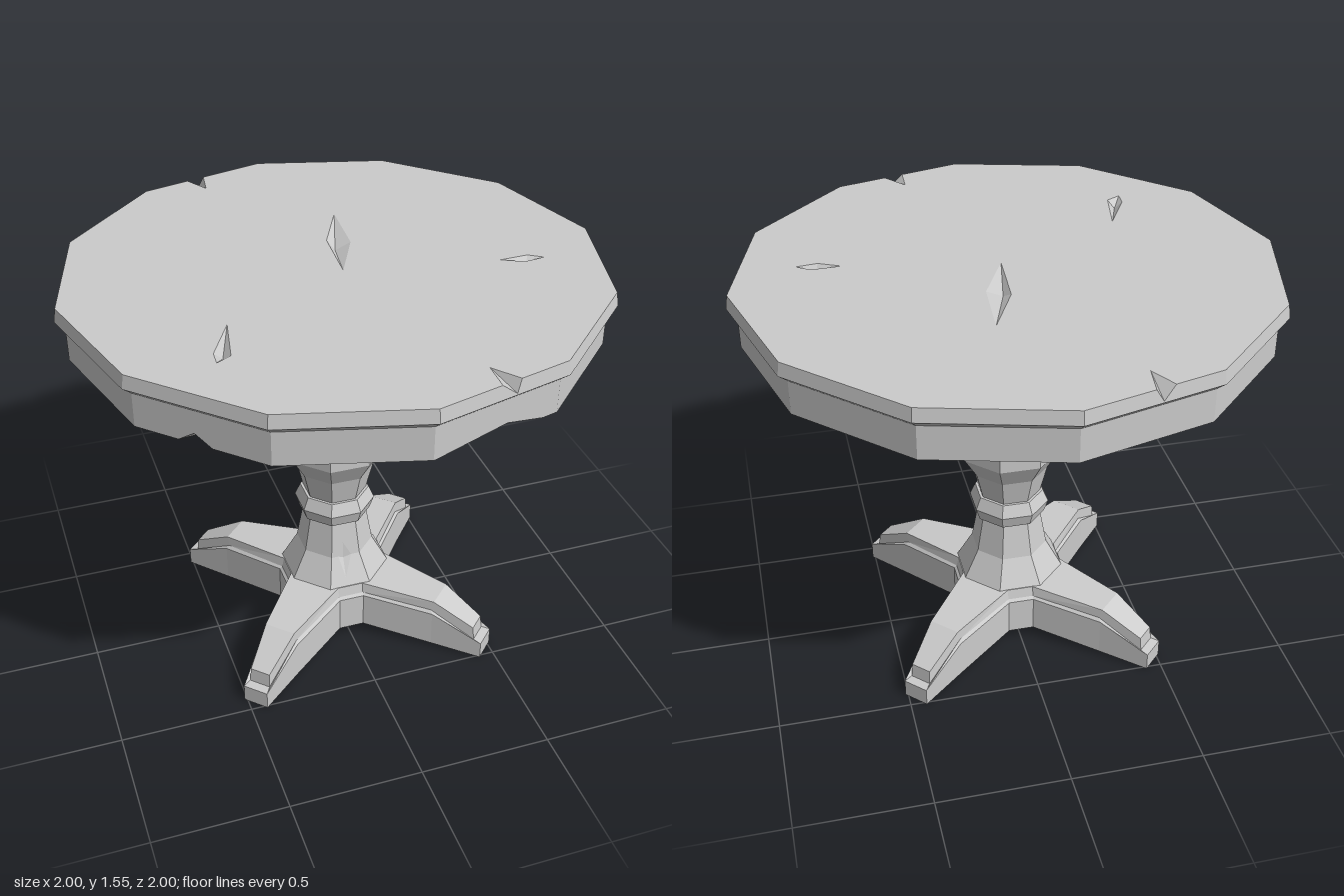
import * as THREE from 'three';

const vec = (x, y, z) => new THREE.Vector3(x, y, z);

// Collects flat polygons and turns them into one faceted mesh
class Facets {
  constructor() { this.points = []; }

  // Polygon with optional holes, corners counter-clockwise from outside
  face(outline, holes = []) {
    const normal = vec(0, 0, 0);
    outline.forEach((p, i) => normal.add(p.clone().cross(outline[(i + 1) % outline.length])));
    normal.normalize();
    const u = outline[1].clone().sub(outline[0]).normalize();
    const v = normal.clone().cross(u);
    const flat = p => new THREE.Vector2(p.dot(u), p.dot(v));
    const all = [outline, ...holes].flat();
    const tris = THREE.ShapeUtils.triangulateShape(outline.map(flat), holes.map(h => h.map(flat)));
    for (const [a, b, c] of tris) {
      const [p, q, r] = [all[a], all[b], all[c]];
      const turn = q.clone().sub(p).cross(r.clone().sub(p)).dot(normal);
      this.points.push(...(turn < 0 ? [p, r, q] : [p, q, r]));
    }
  }

  // Sunken fan from a rim to its deepest point
  pit(rim, deep) {
    for (let i = 0; i + 1 < rim.length; i++) this.points.push(rim[i], rim[i + 1], deep);
  }

  mesh(name, material) {
    const geometry = new THREE.BufferGeometry().setFromPoints(this.points);
    geometry.computeVertexNormals();
    const mesh = new THREE.Mesh(geometry, material);
    mesh.name = name;
    return mesh;
  }
}

// Faceted turned body. Rings are [radius, height]. Each chip sits on the edge
// of one ring and side: t0..t1 along the edge, up/down = [t, share of the face].
function turnedBody(rings, sides, shift, chips, gouges = []) {
  const out = new Facets();
  const V = (j, k) => {
    const a = (k + shift) * Math.PI * 2 / sides;
    return vec(rings[j][0] * Math.sin(a), rings[j][1], rings[j][0] * Math.cos(a));
  };
  const at = (j, k, t, f) =>
    V(j, k).lerp(V(j, k + 1), t).lerp(V(j + 1, k).lerp(V(j + 1, k + 1), t), f);
  const parts = c => ({
    up: at(c.ring, c.side, c.up[0], c.up[1]),
    down: at(c.ring - 1, c.side, c.down[0], 1 - c.down[1]),
    left: c.t0 > 0 ? [at(c.ring, c.side, c.t0, 0)] : [],
    right: c.t1 < 1 ? [at(c.ring, c.side, c.t1, 0)] : [],
  });
  const edge = (j, k, way) => {
    if (rings[j][0] === 0) return [V(j, 0)];
    const c = chips.find(c => c.ring === j && c.side === k);
    if (!c) return [V(j, k), V(j, k + 1)];
    const p = parts(c);
    return [...(c.t0 > 0 ? [V(j, k)] : []), ...p.left, p[way], ...p.right,
      ...(c.t1 < 1 ? [V(j, k + 1)] : [])];
  };
  for (let j = 0; j + 1 < rings.length; j++) {
    if (rings[j + 1][0] === 0) { // closing top, one polygon with gouges cut out
      const rim = [];
      for (let k = 0; k < sides; k++) rim.push(...edge(j, k, 'up').slice(0, -1));
      const y = rings[j][1];
      const holes = gouges.map(g => g.rim.map(([x, z]) => vec(x, y, z)));
      out.face(rim, holes);
      gouges.forEach((g, i) =>
        out.pit([...holes[i], holes[i][0]], vec(g.deep[0], y - 0.025, g.deep[1])));
      continue;
    }
    for (let k = 0; k < sides; k++) {
      out.face([...edge(j, k, 'up'), ...edge(j + 1, k, 'down').reverse()]);
    }
  }
  for (const c of chips) {
    const p = parts(c), s = c.sink ?? 1;
    const deep = p.up.clone().lerp(p.down, 0.5).multiply(vec(s, 1, s));
    if (c.t0 > 0) out.pit([p.up, ...p.left, p.down], deep);
    if (c.t1 < 1) out.pit([p.down, ...p.right, p.up], deep);
  }
  return out;
}

// Four-armed foot. Each tier gives [reach, half width, height] at crotch, knee and toe.
function crossFoot(tiers) {
  const out = new Facets();
  const rings = tiers.map(([crotch, knee, toe]) => {
    const ring = [];
    for (let i = 0; i < 4; i++) {
      const s = Math.sin(Math.PI * (0.25 + i / 2)), c = Math.cos(Math.PI * (0.25 + i / 2));
      const put = ([reach, w, y], m) => ring.push(vec(reach * s + m * w * c, y, reach * c - m * w * s));
      [crotch, knee, toe].forEach(p => put(p, -1));
      [toe, knee, crotch].forEach(p => put(p, 1));
    }
    return ring;
  });
  for (let j = 0; j + 1 < rings.length; j++) {
    const a = rings[j], b = rings[j + 1], n = a.length;
    for (let i = 0; i < n; i++) out.face([a[i], a[(i + 1) % n], b[(i + 1) % n], b[i]]);
  }
  const cap = (ring, flip) => {
    const add = p => out.face(flip ? p.reverse() : p);
    const hub = [];
    for (let i = 0; i < 24; i += 6) {
      const p = ring.slice(i, i + 6);
      add([p[0], p[1], p[4], p[5]]);
      add([p[1], p[2], p[3], p[4]]);
      hub.push(p[0], p[5]);
    }
    add(hub);
  };
  cap(rings[0], true);
  cap(rings[rings.length - 1], false);
  return out;
}

export function createModel() {
  const group = new THREE.Group();
  group.name = 'pedestalTable';
  const material = new THREE.MeshStandardMaterial({ color: 0xcccccc, flatShading: true });

  // Twelve-sided top with a flared lip, chipped edges and three gouges
  const topRings = [[0, 1.35], [0.965, 1.35], [0.965, 1.475], [1, 1.505], [0.992, 1.555], [0, 1.555]];
  const topChips = [
    { ring: 4, side: 0, t0: 0.47, t1: 0.62, up: [0.54, 0.11], down: [0.58, 0.9] },
    { ring: 4, side: 6, t0: 0.5, t1: 0.64, up: [0.6, 0.11], down: [0.55, 0.9] },
    { ring: 1, side: 0, t0: 0.02, t1: 0.88, up: [0.58, 0.27], down: [0.55, 0.06] },
    { ring: 1, side: 10, t0: 0.33, t1: 0.58, up: [0.45, 0.32], down: [0.45, 0.08] },
    { ring: 1, side: 2, t0: 0.49, t1: 0.61, up: [0.56, 0.45], down: [0.55, 0.15] },
  ];
  const gouges = [
    { rim: [[0.14, -0.42], [0.04, -0.21], [0.02, 0.04], [0.12, -0.17]], deep: [0.06, -0.17] },
    { rim: [[-0.47, 0.29], [-0.56, 0.46], [-0.565, 0.52], [-0.51, 0.49]], deep: [-0.53, 0.46] },
    { rim: [[0.58, 0.14], [0.66, 0.18], [0.74, 0.17], [0.69, 0.135]], deep: [0.67, 0.165] },
  ];
  group.add(turnedBody(topRings, 12, 0, topChips, gouges).mesh('tableTop', material));

  // Eight-sided turned column; profile widths are measured to the flats
  const profile = [[0.2, 0.235], [0.14, 0.35], [0.115, 0.5], [0.13, 0.5], [0.145, 0.55],
    [0.125, 0.6], [0.115, 0.6], [0.14, 0.71], [0.19, 0.8], [0.19, 0.865], [0.14, 0.97],
    [0.095, 1.25], [0.12, 1.25], [0.195, 1.28], [0.195, 1.35]];
  const columnRings = profile.map(([r, y]) => [r / Math.cos(Math.PI / 8), y]);
  const columnChips = [
    { ring: 1, side: 0, t0: 0.24, t1: 0.7, up: [0.42, 0.4], down: [0.42, 0.7], sink: 0.88 },
    { ring: 9, side: 0, t0: 0.75, t1: 1, up: [1, 0.9], down: [1, 0.95], sink: 0.9 },
    { ring: 9, side: 1, t0: 0, t1: 0.4, up: [0, 0.9], down: [0, 0.95], sink: 0.9 },
  ];
  group.add(turnedBody(columnRings, 8, -0.5, columnChips).mesh('column', material));

  // Two-tier foot with four diagonal arms, arched underneath
  group.add(crossFoot([
    [[0.19, 0.12, 0.045], [0.47, 0.075, 0.015], [0.672, 0.05, 0]],
    [[0.19, 0.12, 0.19], [0.47, 0.075, 0.165], [0.672, 0.05, 0.07]],
    [[0.183, 0.112, 0.2], [0.46, 0.066, 0.178], [0.638, 0.042, 0.075]],
    [[0.177, 0.106, 0.24], [0.47, 0.062, 0.218], [0.632, 0.04, 0.13]],
  ]).mesh('foot', material));

  return group;
}
